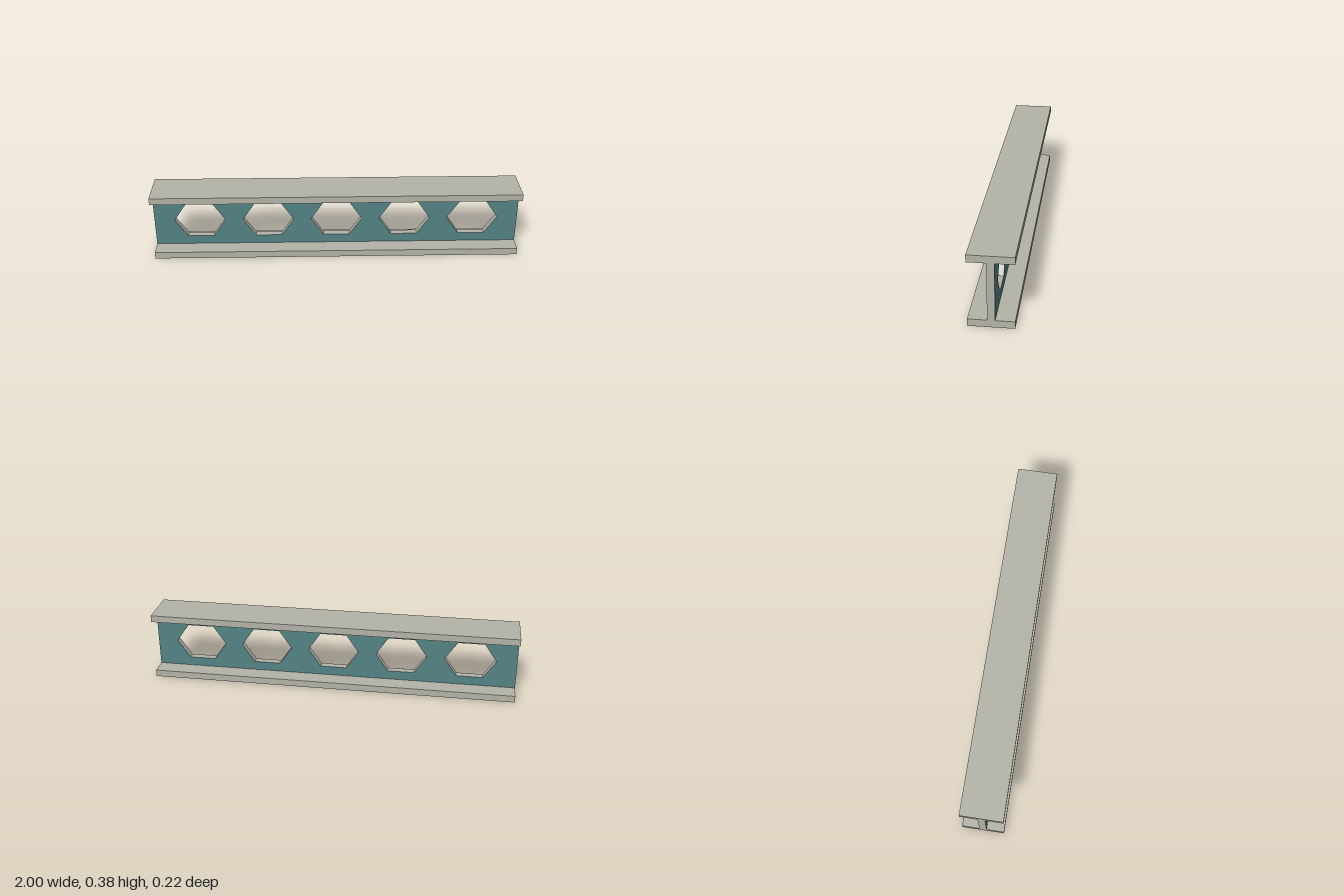
import * as THREE from 'three';

const LENGTH = 2, HEIGHT = 0.375, DEPTH = 0.225;
const FLANGE = 0.0375, WEB = 0.0375;
const HOLES = 5, SPACING = 0.375;

export function createModel() {
  const steel = new THREE.MeshStandardMaterial({ color: 0xb4b4a9 });
  steel.name = 'bare steel';
  const teal = new THREE.MeshStandardMaterial({ color: 0x548484 });
  teal.name = 'teal paint';

  const beam = new THREE.Group();
  beam.name = 'castellatedBeam';

  // Top and bottom flanges
  const flangeGeometry = new THREE.BoxGeometry(LENGTH, FLANGE, DEPTH);
  for (const [name, y] of [['bottomFlange', FLANGE / 2], ['topFlange', HEIGHT - FLANGE / 2]]) {
    const flange = new THREE.Mesh(flangeGeometry, steel);
    flange.name = name;
    flange.position.y = y;
    beam.add(flange);
  }

  // Web plate outline, centred on the beam axis
  const x = LENGTH / 2, y = HEIGHT / 2 - FLANGE;
  const outline = new THREE.Shape([[-x, -y], [x, -y], [x, y], [-x, y]].map(p => new THREE.Vector2(...p)));

  // Row of hexagonal openings
  const hexagon = [[-0.14, 0], [-0.072, 0.1], [0.072, 0.1], [0.14, 0], [0.072, -0.1], [-0.072, -0.1]];
  for (let i = 0; i < HOLES; i++) {
    const cx = (i - (HOLES - 1) / 2) * SPACING;
    outline.holes.push(new THREE.Path(hexagon.map(([hx, hy]) => new THREE.Vector2(cx + hx, hy))));
  }

  // Painted faces, bare cut edges
  const webGeometry = new THREE.ExtrudeGeometry(outline, { depth: WEB, bevelEnabled: false });
  webGeometry.translate(0, HEIGHT / 2, -WEB / 2);
  const web = new THREE.Mesh(webGeometry, [teal, steel]);
  web.name = 'web';
  beam.add(web);

  return beam;
}
